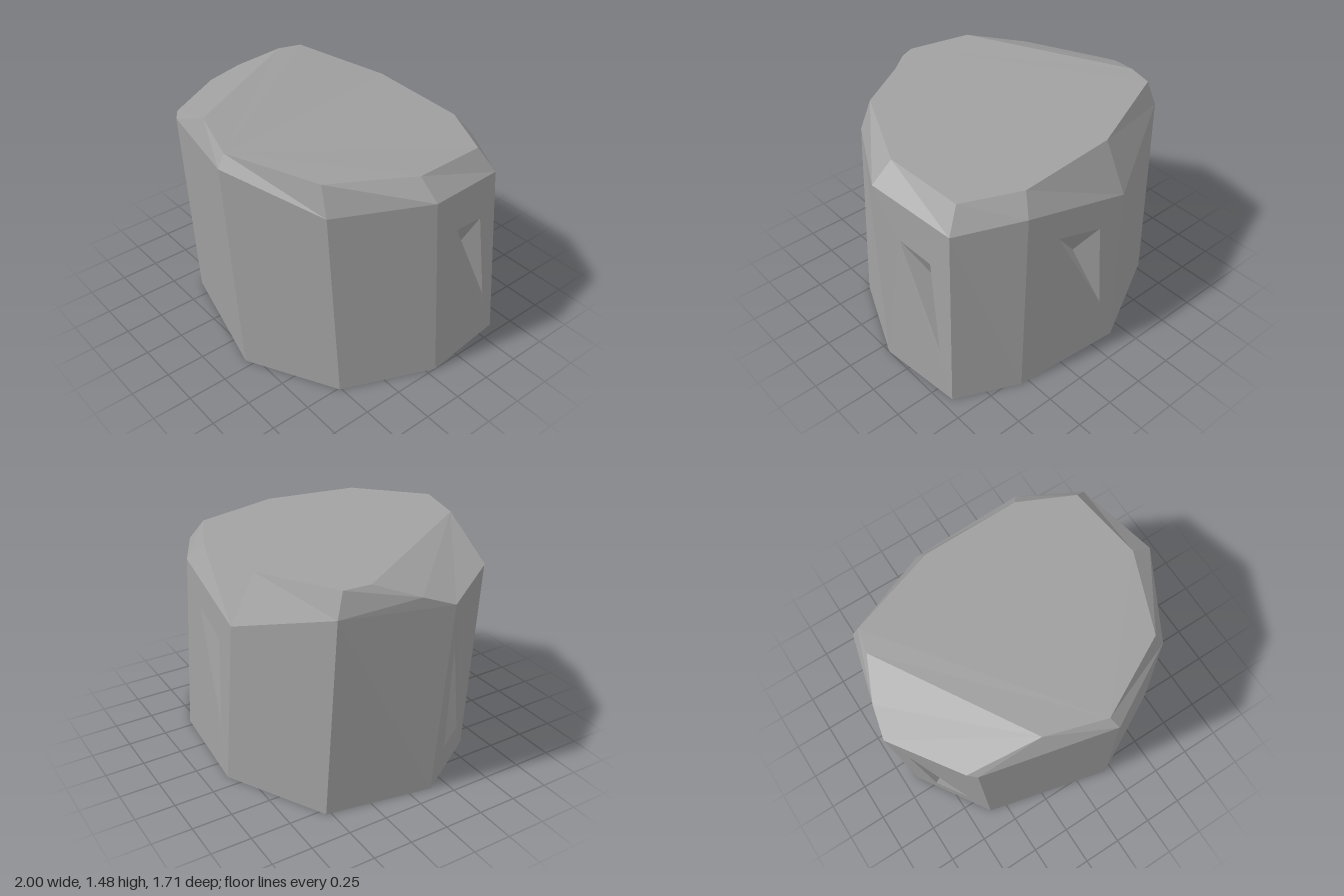
import * as THREE from 'three';

const V = (p) => new THREE.Vector3(...p);

// Rings of nine corners, running from the front round past +x to the back
const foot = [[0.2, 0, 0.81], [0.76, 0, 0.51], [1, 0, -0.06], [0.94, 0, -0.62], [0.55, 0, -0.8],
  [-0.16, 0, -0.86], [-0.79, 0, -0.53], [-0.91, 0, 0.14], [-0.61, 0, 0.61]].map(V);
const shoulder = [[0.12, 1.4, 0.85], [0.67, 1.23, 0.54], [0.96, 1.25, 0], [0.87, 1.18, -0.57], [0.48, 1.21, -0.76],
  [-0.22, 1.06, -0.81], [-0.83, 1.27, -0.48], [-1, 1.27, 0.17], [-0.67, 1.29, 0.64]].map(V);
const rim = [[0.09, 1.465, 0.79], [0.6, 1.41, 0.52], [0.82, 1.36, 0], [0.77, 1.32, -0.51], [0.42, 1.33, -0.67],
  [-0.22, 1.36, -0.65], [-0.8, 1.42, -0.43], [-0.83, 1.43, -0.27], [-0.28, 1.48, 0.68]].map(V);
// Extra corners where the slanted cut meets the sides
const cutBack = V([-0.95, 1.34, -0.02]);
const cutFront = V([-0.72, 1.31, 0.6]);

// Chips in the walls: three clockwise corners and a deepest point, as fractions across and up the wall
const chips = {
  2: { corners: [[0.33, 0.79], [0.74, 0.775], [0.83, 0.27]], deep: [0.62, 0.61], depth: 0.1 },
  4: { corners: [[0.32, 0.84], [0.76, 0.82], [0.83, 0.3]], deep: [0.6, 0.66], depth: 0.1 },
  7: { corners: [[0.18, 0.75], [0.74, 0.155], [0.31, 0.155]], deep: [0.45, 0.45], depth: 0.12 },
};

export function createModel() {
  const group = new THREE.Group();
  const stone = new THREE.MeshStandardMaterial({ color: 0xa0a0a0 });
  stone.name = 'grey stone';

  // Flat-faced mesh from a list of triangle corners
  function addFacets(name, points) {
    const geometry = new THREE.BufferGeometry().setFromPoints(points);
    geometry.computeVertexNormals();
    const mesh = new THREE.Mesh(geometry, stone);
    mesh.name = name;
    group.add(mesh);
  }
  const fan = (pts) => pts.slice(2).flatMap((p, i) => [pts[0], pts[i + 1], p]);

  const walls = [], hollows = [], bevel = [];
  for (let i = 0; i < 9; i++) {
    const j = (i + 1) % 9;
    const onWall = ([s, t]) => foot[i].clone().lerp(foot[j], s)
      .lerp(shoulder[i].clone().lerp(shoulder[j], s), t);
    const chip = chips[i];
    if (chip) {
      // Wall with a triangular opening and a pyramid-shaped hollow
      const outline = [[0, 0], [1, 0], [1, 1], [0, 1]];
      const to2 = (p) => new THREE.Vector2(...p);
      const all = [...outline, ...chip.corners].map(onWall);
      THREE.ShapeUtils.triangulateShape(outline.map(to2), [chip.corners.map(to2)])
        .forEach((f) => walls.push(...f.map((k) => all[k])));
      const along = foot[j].clone().sub(foot[i]);
      const inward = new THREE.Vector3(along.z, 0, -along.x).normalize();
      const deep = onWall(chip.deep).addScaledVector(inward, chip.depth);
      const c = chip.corners.map(onWall);
      for (let k = 0; k < 3; k++) hollows.push(c[(k + 1) % 3], c[k], deep);
    } else {
      walls.push(foot[i], foot[j], shoulder[i], foot[j], shoulder[j], shoulder[i]);
    }
    // Bevel between wall and top, replaced by the slanted cut on one side
    if (i === 6) {
      walls.push(shoulder[6], shoulder[7], cutBack);
      bevel.push(shoulder[6], cutBack, rim[6], rim[6], cutBack, rim[7]);
    } else if (i === 7) {
      bevel.push(shoulder[7], shoulder[8], cutFront, shoulder[8], rim[8], cutFront);
    } else {
      bevel.push(shoulder[i], shoulder[j], rim[i], shoulder[j], rim[j], rim[i]);
    }
  }

  addFacets('rockWalls', walls);
  addFacets('wallChips', hollows);
  addFacets('bevelledRim', bevel);
  addFacets('flatTop', fan(rim));
  addFacets('slantedCut', fan([rim[8], rim[7], cutBack, shoulder[7], cutFront]));
  addFacets('underside', fan([...foot].reverse()));
  return group;
}
